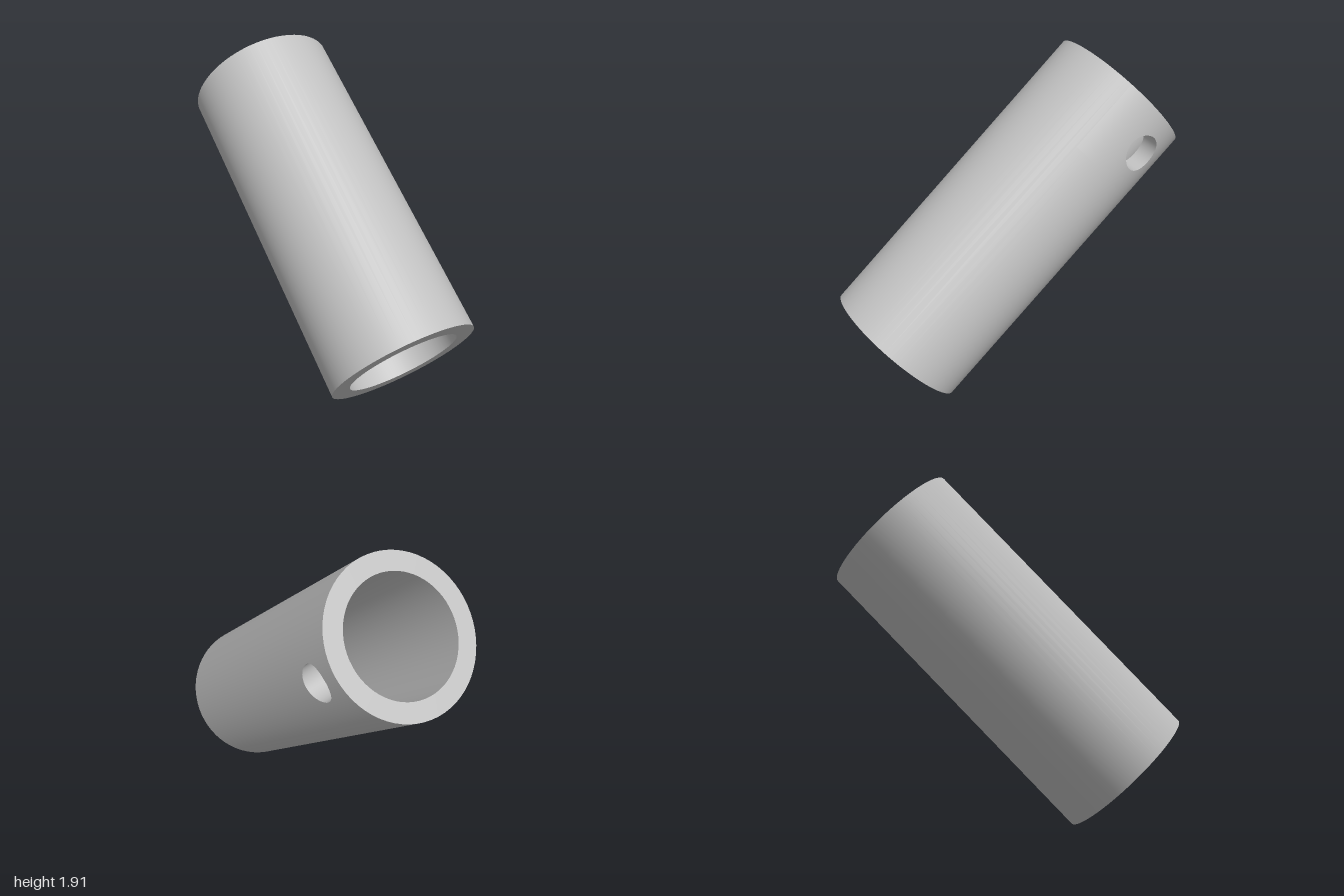
import * as THREE from 'three';
import { ParametricGeometry } from 'three/addons/geometries/ParametricGeometry.js';

const OUTER = 0.425, INNER = 0.32, HALF = 0.966; // radii and half length of the tube
const HOLE_R = 0.107, HOLE_Y = 0.747;            // side hole, centred on local +x
const SPAN = Math.PI / 4, REACH = HALF - HOLE_Y; // half size of the patch around the hole

const { lerp, clamp } = THREE.MathUtils;
const onTube = (r, angle, y, target) => target.set(r * Math.cos(angle), y, r * Math.sin(angle));

// Uniform walk around a square, used for the outer border of the hole patch
const squareWave = (t) => {
  const f = ((t % 1) + 1) % 1;
  return clamp(2 - 8 * Math.min(f, 1 - f), -1, 1);
};

// Curved wall section between two angles and two heights
function wall(r, a0, a1, y0, y1, steps) {
  return new ParametricGeometry((u, v, p) => onTube(r, lerp(a0, a1, v), lerp(y0, y1, u), p), 1, steps);
}

// Curved wall patch from the hole rim out to a square border
function holePatch(r, dir) {
  return new ParametricGeometry((u, v, p) => {
    const t = u * dir, psi = t * Math.PI * 2;
    const rimAngle = Math.asin(HOLE_R * Math.cos(psi) / r);
    const angle = lerp(rimAngle, SPAN * squareWave(t), v);
    const y = HOLE_Y + lerp(HOLE_R * Math.sin(psi), REACH * squareWave(t - 0.25), v);
    onTube(r, angle, y, p);
  }, 64, 8);
}

export function createModel() {
  const model = new THREE.Group();
  const tube = new THREE.Group();
  tube.name = 'tube';
  model.add(tube);

  const grey = new THREE.MeshStandardMaterial({ color: 0xc0c0c0 });
  grey.name = 'grey';
  const add = (name, geometry) => {
    const mesh = new THREE.Mesh(geometry, grey);
    mesh.name = name;
    tube.add(mesh);
    return mesh;
  };

  // Outer and inner walls, each with the hole left open
  for (const [name, r, dir] of [['outerWall', OUTER, 1], ['innerWall', INNER, -1]]) {
    const around = [SPAN, Math.PI * 2 - SPAN], below = [-SPAN, SPAN];
    if (dir < 0) { around.reverse(); below.reverse(); }
    add(name, wall(r, ...around, -HALF, HALF, 48));
    add(name + 'BelowHole', wall(r, ...below, -HALF, HOLE_Y - REACH, 16));
    add(name + 'AroundHole', holePatch(r, dir));
  }

  // Lining of the side hole
  add('holeLining', new ParametricGeometry((u, v, p) => {
    const psi = u * Math.PI * 2, z = HOLE_R * Math.cos(psi);
    const x = lerp(Math.sqrt(INNER ** 2 - z * z), Math.sqrt(OUTER ** 2 - z * z), v);
    p.set(x, HOLE_Y + HOLE_R * Math.sin(psi), z);
  }, 64, 1));

  // Flat ring ends
  for (const side of [1, -1]) {
    const ring = add(side > 0 ? 'topEnd' : 'bottomEnd', new THREE.RingGeometry(INNER, OUTER, 64));
    ring.rotation.x = -side * Math.PI / 2;
    ring.position.y = side * HALF;
  }

  // Lean the tube back, with the hole turned to its left side
  const axis = new THREE.Vector3(-0.25, 1.275, -1.43).normalize();
  const holeDir = new THREE.Vector3(0.959, -0.108, -0.264);
  holeDir.addScaledVector(axis, -holeDir.dot(axis)).normalize();
  const across = new THREE.Vector3().crossVectors(holeDir, axis);
  tube.quaternion.setFromRotationMatrix(new THREE.Matrix4().makeBasis(holeDir, axis, across));
  tube.position.y = 0.957;
  return model;
}
